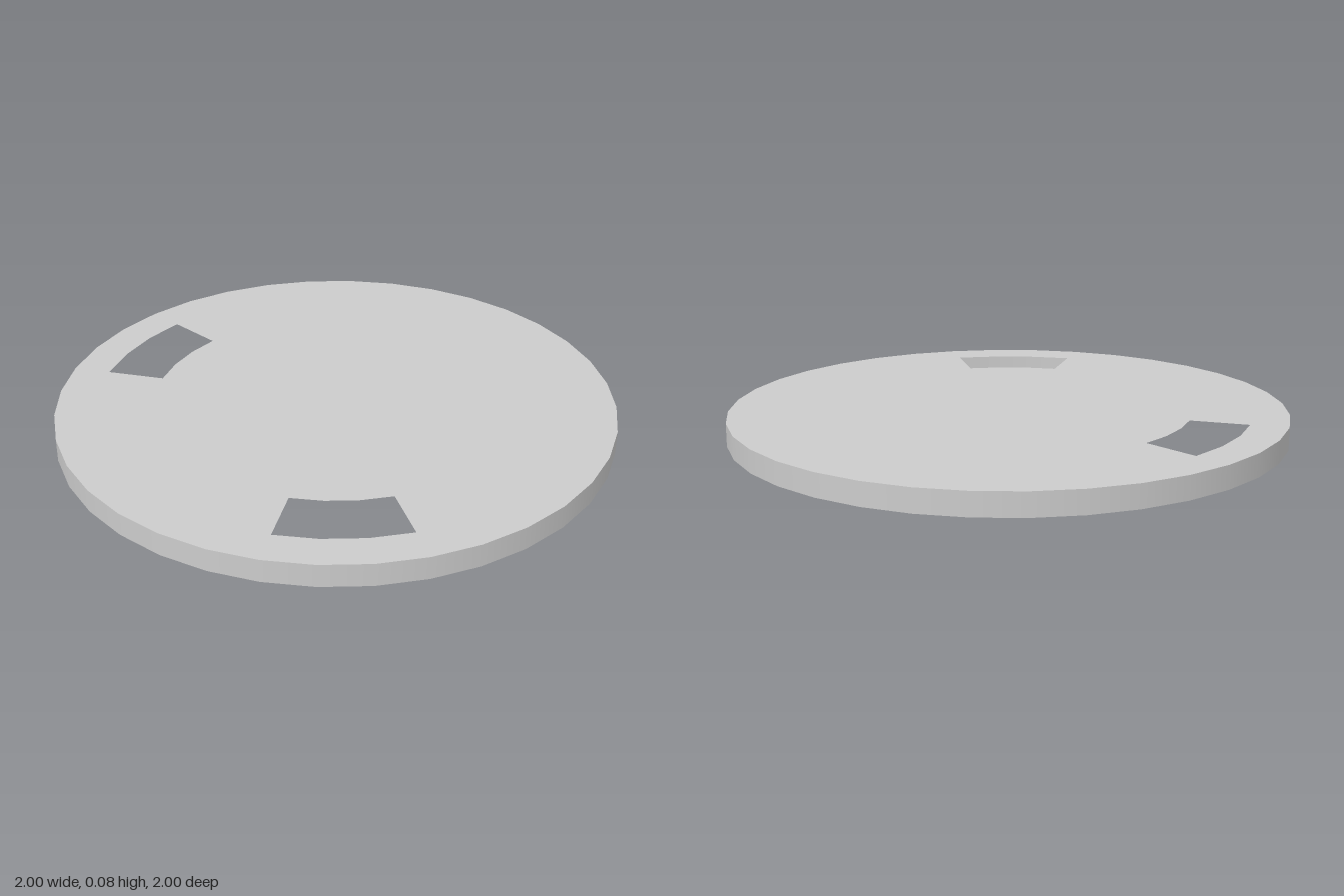
import * as THREE from 'three';

const SIDES = 36, HEIGHT = 0.082, STEP = Math.PI * 2 / SIDES;

// Points on a circle, counted in rim facets (10 degrees each)
function arc(radius, from, to) {
  const points = [];
  for (let i = from; i <= to; i++) {
    points.push(new THREE.Vector2(radius * Math.cos(i * STEP), radius * Math.sin(i * STEP)));
  }
  return points;
}

// Curved slot between two radii
function slot(from, to) {
  return new THREE.Path([...arc(0.866, from, to), ...arc(0.657, from, to).reverse()]);
}

export function createModel() {
  const group = new THREE.Group();
  group.name = 'slottedLid';
  const material = new THREE.MeshStandardMaterial({ color: 0xcccccc, side: THREE.DoubleSide });

  // Thin top plate with two slots
  const shape = new THREE.Shape(arc(1, 0, SIDES - 1));
  shape.holes.push(slot(11, 14), slot(23, 26));
  const plate = new THREE.Mesh(new THREE.ShapeGeometry(shape).rotateX(-Math.PI / 2), material);
  plate.name = 'topPlate';
  plate.position.y = HEIGHT;

  // Thin rim, open underneath
  const rim = new THREE.Mesh(new THREE.CylinderGeometry(1, 1, HEIGHT, SIDES, 1, true), material);
  rim.name = 'rim';
  rim.position.y = HEIGHT / 2;

  group.add(plate, rim);
  return group;
}
